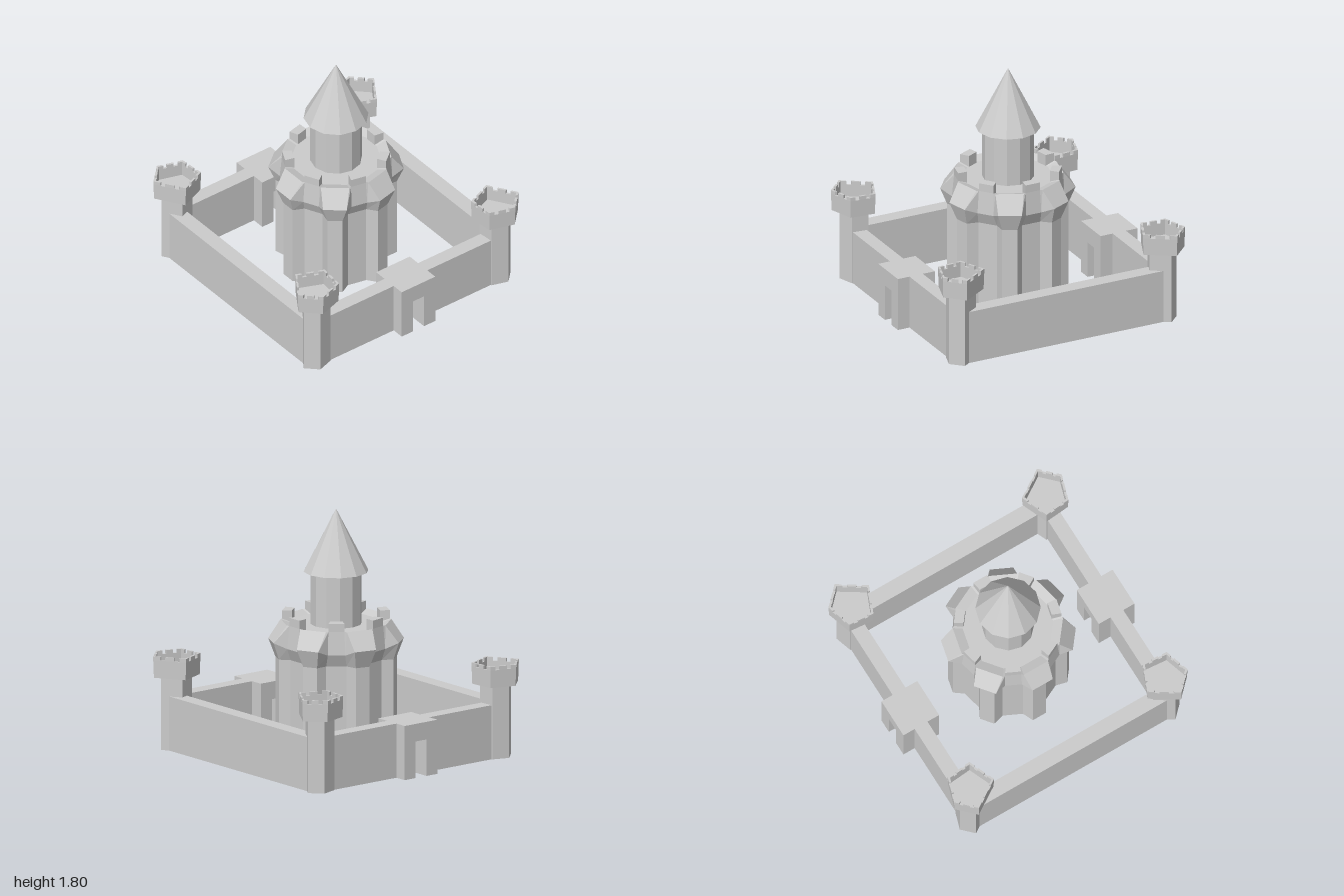
import * as THREE from 'three';

const material = new THREE.MeshStandardMaterial({ color: 0xcccccc, flatShading: true });

function add(parent, name, geometry, x = 0, y = 0, z = 0) {
  const mesh = new THREE.Mesh(geometry, material);
  mesh.name = name;
  mesh.position.set(x, y, z);
  parent.add(mesh);
  return mesh;
}

// Skin through rings of [x, y, z] points (angle growing from +x to +z), closed at both ends
function loft(rings) {
  const out = [];
  const tri = (a, b, c) => out.push(...a, ...b, ...c);
  const middle = ring => [0, 1, 2].map(k => ring.reduce((s, p) => s + p[k], 0) / ring.length);
  const n = rings[0].length, first = rings[0], last = rings[rings.length - 1];
  const c0 = middle(first), c1 = middle(last);
  for (let i = 0; i < n; i++) {
    const k = (i + 1) % n;
    for (let j = 0; j < rings.length - 1; j++) {
      const lo = rings[j], hi = rings[j + 1];
      tri(lo[i], hi[i], lo[k]);
      tri(lo[k], hi[i], hi[k]);
    }
    tri(c0, first[i], first[k]);
    tri(c1, last[k], last[i]);
  }
  const g = new THREE.BufferGeometry();
  g.setAttribute('position', new THREE.Float32BufferAttribute(out, 3));
  g.computeVertexNormals();
  return g;
}

// Point at a distance along a direction, shifted sideways
const polar = (angle, r, side, y) => [
  Math.cos(angle) * r - Math.sin(angle) * side, y,
  Math.sin(angle) * r + Math.cos(angle) * side];

// Gear-shaped ring with seven recesses and seven ribs
const COUNT = 7, STEP = Math.PI * 2 / COUNT;
function gearRing([vr, vw, vy, rr, rw, ry]) {
  const ring = [];
  for (let i = 0; i < COUNT; i++) {
    const a = i * STEP, b = a + STEP / 2;
    ring.push(polar(a, vr, -vw, vy), polar(a, vr, vw, vy),
      polar(b, rr, -rw, ry), polar(b, rr, rw, ry));
  }
  return ring;
}

function createKeep() {
  const keep = new THREE.Group();
  keep.name = 'keep';
  // Ribbed body flaring out to a sloped crown with a sunken floor
  add(keep, 'keepBody', loft([
    [0.36, 0.073, 0.08, 0.435, 0.055, 0.08],
    [0.36, 0.073, 0.72, 0.435, 0.055, 0.72],
    [0.40, 0.062, 0.81, 0.48, 0.085, 0.85],
    [0.385, 0.058, 0.98, 0.385, 0.102, 0.98],
    [0.315, 0.048, 0.955, 0.315, 0.083, 0.955],
  ].map(gearRing)));
  // Merlons above the recesses
  for (let i = 0; i < COUNT; i++) {
    const a = i * STEP;
    const ring = y => [polar(a, 0.385, -0.058, y), polar(a, 0.385, 0.058, y),
      polar(a, 0.315, 0.046, y), polar(a, 0.315, -0.046, y)];
    add(keep, 'keepMerlon', loft([ring(0.95), ring(1.04)]));
  }
  // Round turret and pointed roof
  add(keep, 'turret', new THREE.CylinderGeometry(0.187, 0.187, 0.42, 12), 0, 1.14, 0);
  add(keep, 'turretRoof', new THREE.ConeGeometry(0.235, 0.46, 12), 0, 1.57, 0);
  return keep;
}

// Five-sided corner tower, outline for the +x +z corner
const CENTRE = [0.82, 0.813];
const OUTLINE = [[1.0, 0.85], [0.87, 0.98], [0.68, 0.92], [0.663, 0.727], [0.866, 0.642]];

function createCornerTower(sx, sz) {
  const tower = new THREE.Group();
  tower.name = 'cornerTower';
  const ring = (scale, y) => {
    const pts = OUTLINE.map(p => [
      sx * (CENTRE[0] + (p[0] - CENTRE[0]) * scale), y,
      sz * (CENTRE[1] + (p[1] - CENTRE[1]) * scale)]);
    return sx * sz < 0 ? pts.reverse() : pts;
  };
  // Shaft, overhanging head and hollow top
  add(tower, 'towerBody', loft([
    ring(0.65, 0), ring(0.65, 0.54), ring(0.97, 0.54), ring(1, 0.67),
    ring(0.89, 0.67), ring(0.89, 0.58)]));
  // Small merlons along the rim
  const mix = (a, b, t) => a.map((v, k) => v + (b[k] - v) * t);
  const outer = ring(1, 0.67), inner = ring(0.89, 0.67);
  for (let i = 0; i < 5; i++) {
    const k = (i + 1) % 5;
    for (const [t0, t1] of [[0, 0.2], [0.36, 0.64], [0.8, 1]]) {
      const low = [mix(outer[i], outer[k], t0), mix(outer[i], outer[k], t1),
        mix(inner[i], inner[k], t1), mix(inner[i], inner[k], t0)];
      add(tower, 'towerMerlon', loft([low, low.map(p => [p[0], 0.697, p[2]])]));
    }
  }
  return tower;
}

// Gatehouse block with an open doorway through it
function gatehouseGeometry() {
  const s = new THREE.Shape();
  [[-0.152, 0], [-0.05, 0], [-0.05, 0.27], [0.05, 0.27], [0.05, 0], [0.152, 0],
    [0.152, 0.4], [-0.152, 0.4]].forEach(([x, y], i) => i ? s.lineTo(x, y) : s.moveTo(x, y));
  return new THREE.ExtrudeGeometry(s, { depth: 0.3, bevelEnabled: false }).translate(0, 0, -0.15);
}

export function createModel() {
  const model = new THREE.Group();
  model.name = 'castle';
  model.add(createKeep());
  const gate = gatehouseGeometry();
  for (const s of [-1, 1]) {
    add(model, s > 0 ? 'frontGatehouse' : 'backGatehouse', gate, 0, 0, s * 0.82);
    // Curtain walls
    add(model, 'sideWall', new THREE.BoxGeometry(0.115, 0.4, 1.6), s * 0.847, 0.2, 0);
    for (const t of [-1, 1]) {
      add(model, 'gateWall', new THREE.BoxGeometry(0.67, 0.4, 0.108), t * 0.485, 0.2, s * 0.822);
      model.add(createCornerTower(s, t));
    }
  }
  return model;
}
